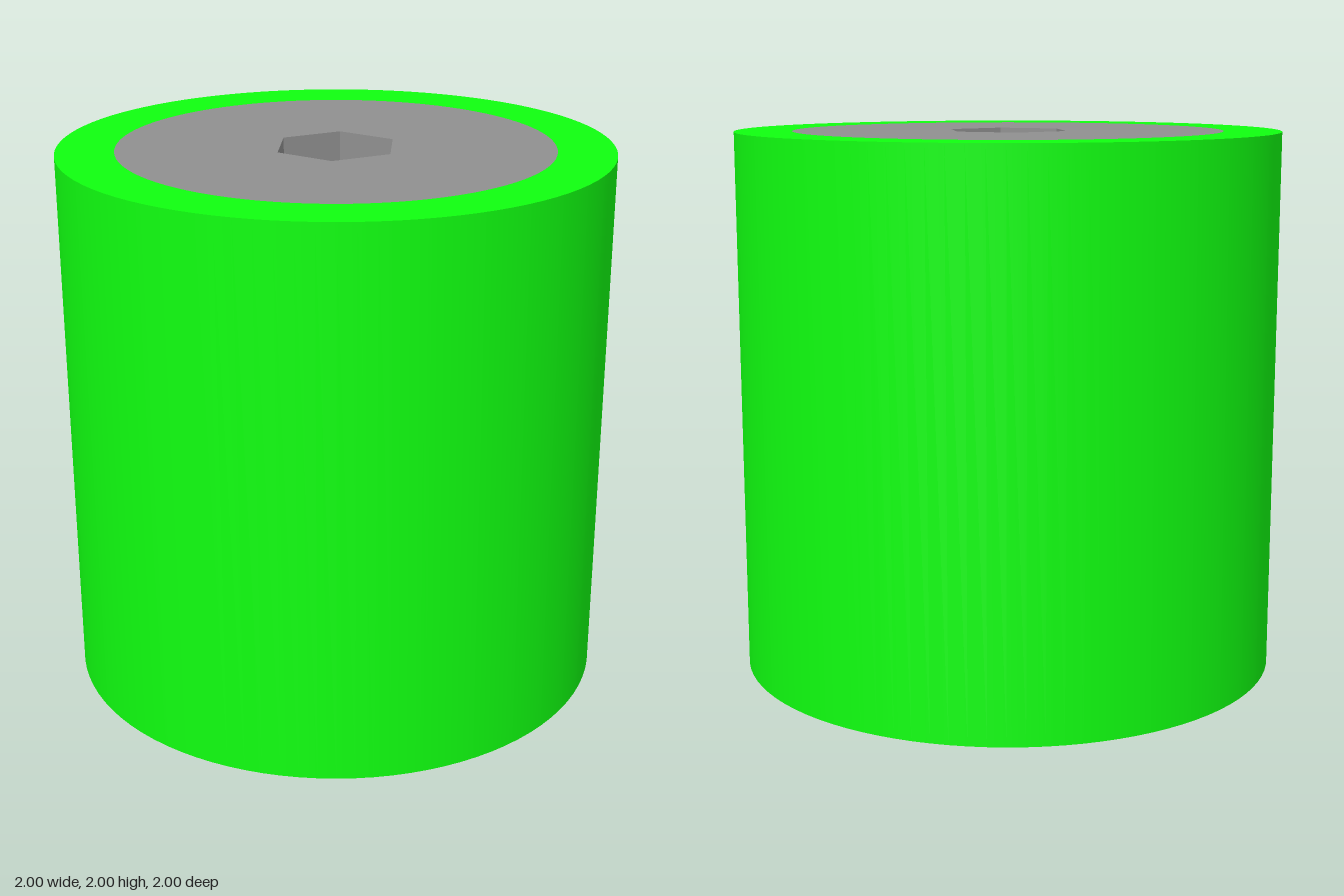
import * as THREE from 'three';
import { toCreasedNormals } from 'three/addons/utils/BufferGeometryUtils.js';

const HEIGHT = 2, OUTER = 1, INNER = 0.79, HEX = 0.23;

// Closed outline: a circle
function circle(Type, radius) {
  const path = new Type();
  path.absarc(0, 0, radius, 0, Math.PI * 2, false);
  return path;
}

// Closed outline: a hexagon with corners on the x axis
function hexagon(radius) {
  const points = [];
  for (let i = 0; i < 6; i++) {
    const a = (i * Math.PI) / 3;
    points.push(new THREE.Vector2(radius * Math.cos(a), radius * Math.sin(a)));
  }
  return new THREE.Path(points);
}

// Upright prism with a hole through it, standing on y = 0
function sleeve(name, shape, hole, color) {
  shape.holes.push(hole);
  const prism = new THREE.ExtrudeGeometry(shape, { depth: HEIGHT, bevelEnabled: false, curveSegments: 48 });
  prism.rotateX(-Math.PI / 2);
  const mesh = new THREE.Mesh(toCreasedNormals(prism, Math.PI / 6), new THREE.MeshStandardMaterial({ color }));
  mesh.name = name;
  return mesh;
}

export function createModel() {
  const group = new THREE.Group();
  group.name = 'roller';
  // Green outer tyre around the core
  group.add(sleeve('tyre', circle(THREE.Shape, OUTER), circle(THREE.Path, INNER), 0x10ff10));
  // Grey core with a hexagonal shaft bore
  group.add(sleeve('core', circle(THREE.Shape, INNER), hexagon(HEX), 0x909090));
  return group;
}
